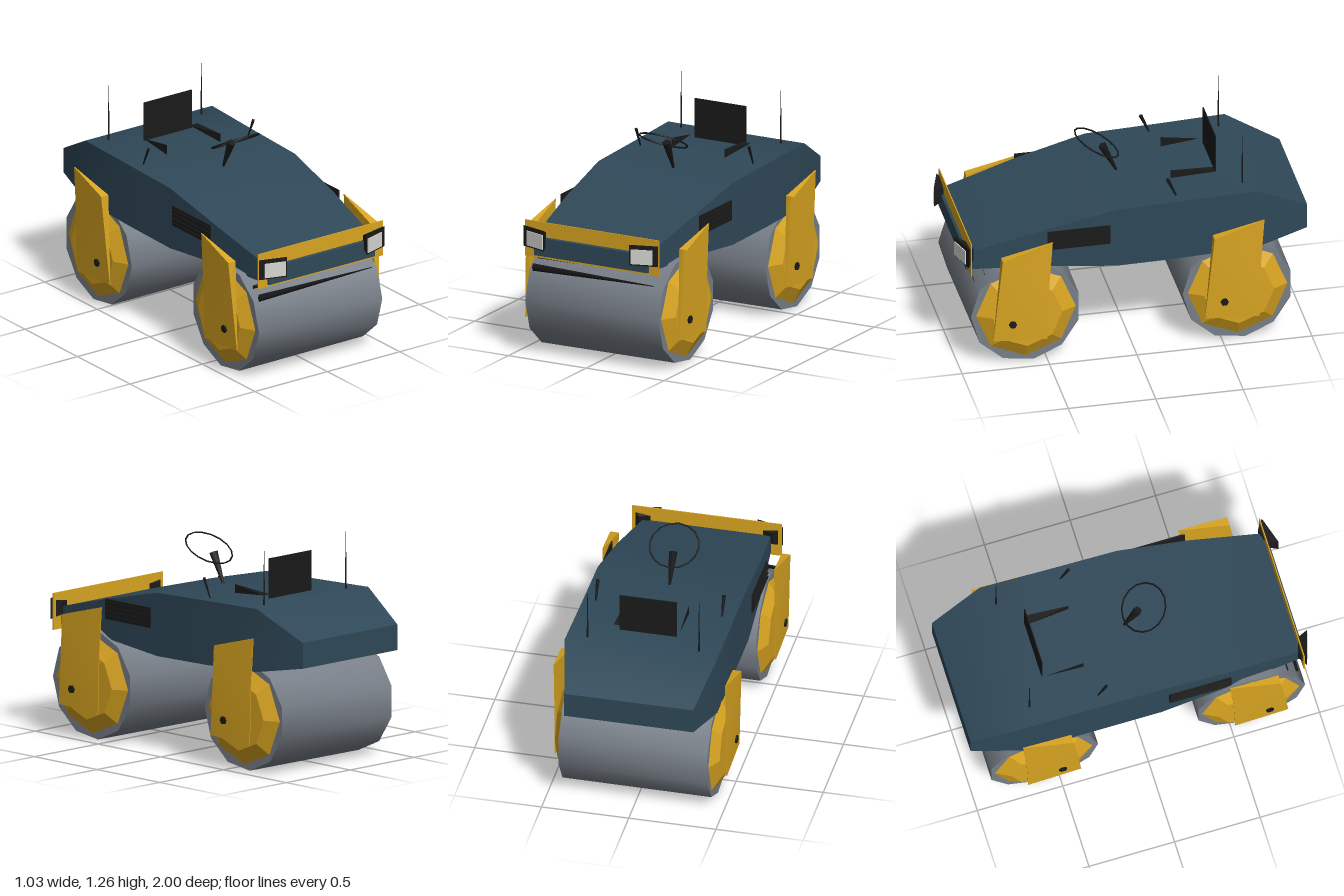
import * as THREE from 'three';
import { toCreasedNormals } from 'three/addons/utils/BufferGeometryUtils.js';

const mat = (name, color) => {
  const m = new THREE.MeshStandardMaterial({ color, side: THREE.DoubleSide });
  m.name = name;
  return m;
};

export function createModel() {
  const blue = mat('slate blue paint', 0x2f4858);
  const yellow = mat('yellow paint', 0xd9a521);
  const steel = mat('drum steel', 0x787f88);
  const black = mat('black trim', 0x1a1a1b);
  const glass = mat('lamp glass', 0xd6d6d2);

  const root = new THREE.Group();
  root.name = 'roadRoller';

  const add = (name, geo, material, x = 0, y = 0, z = 0, parent = root) => {
    const m = new THREE.Mesh(geo, material);
    m.name = name;
    m.position.set(x, y, z);
    parent.add(m);
    return m;
  };
  const box = (w, h, d) => new THREE.BoxGeometry(w, h, d);
  const fromTriangles = (pts, tris) => {
    const g = new THREE.BufferGeometry();
    g.setAttribute('position', new THREE.Float32BufferAttribute(tris.flat().flatMap(i => pts[i]), 3));
    g.computeVertexNormals();
    return g;
  };

  // Body: rectangular sections [z, half width, bottom y, top y] joined front to back
  const sections = [
    [0.95, 0.365, 0.59, 0.695], [0.5, 0.41, 0.582, 0.815], [0.1, 0.432, 0.548, 0.91],
    [-0.3, 0.434, 0.556, 0.922], [-0.7, 0.438, 0.575, 0.935], [-1, 0.37, 0.628, 0.775],
  ];
  const pts = sections.flatMap(([z, w, b, t]) => [[-w, b, z], [w, b, z], [w, t, z], [-w, t, z]]);
  const tris = [[0, 1, 2], [0, 2, 3]];
  for (let s = 0; s < sections.length - 1; s++) {
    for (let k = 0; k < 4; k++) {
      const a = s * 4 + k, b = s * 4 + (k + 1) % 4;
      tris.push([a, a + 4, b + 4], [a, b + 4, b]);
    }
  }
  const e = (sections.length - 1) * 4;
  tris.push([e, e + 2, e + 1], [e, e + 3, e + 2]);
  add('body', toCreasedNormals(fromTriangles(pts, tris), 0.7), blue);

  // Upright front plate behind the nose
  add('frontPlate', box(0.86, 0.21, 0.006), yellow, 0, 0.68, 0.932);

  // Fork outline [z offset, y, half thickness], thick at the upper front corner
  const fork = [
    [0.15, 0.70, 0.025], [0.16, 0.6, 0.02], [0.2, 0.18, 0.002],
    [-0.11, 0.16, 0.002], [-0.12, 0.5, 0.002], [-0.14, 0.78, 0.002],
  ];
  const n = fork.length;
  const forkPts = [1, -1].flatMap(s => fork.map(([z, y, t]) => [s * t, y, z]));
  const forkTris = [];
  for (let i = 0; i < n; i++) {
    const j = (i + 1) % n;
    if (i > 0 && i < n - 1) forkTris.push([0, j, i], [n, n + i, n + j]);
    forkTris.push([i, j, n + j], [i, n + j, n + i]);
  }
  const forkGeo = toCreasedNormals(fromTriangles(forkPts, forkTris), 0.6);

  // Drums with hubs, forks, axle bolts and scrapers
  for (const [name, z] of [['front', 0.62], ['rear', -0.59]]) {
    const drum = new THREE.Group();
    drum.name = name + 'Drum';
    drum.position.z = z;
    root.add(drum);
    const roll = toCreasedNormals(new THREE.CylinderGeometry(0.318, 0.314, 0.855, 11).rotateZ(Math.PI / 2), 0.8);
    add('roller', roll, steel, 0, 0.312, 0, drum);
    for (const s of [1, -1]) {
      const hub = new THREE.CylinderGeometry(0.2, 0.285, 0.045, 8).rotateZ(-s * Math.PI / 2);
      add('hub', toCreasedNormals(hub, 0.3), yellow, s * 0.45, 0.315, 0, drum);
      add('fork', forkGeo, yellow, s * 0.492, 0, 0, drum);
      const bolt = new THREE.CylinderGeometry(0.023, 0.023, 0.02, 6).rotateZ(Math.PI / 2);
      add('axleBolt', bolt, black, s * 0.499, 0.28, 0.09, drum);
    }
  }
  for (const [y, z, r] of [[0.503, 0.9, 0.022], [0.552, 0.845, 0.011]]) {
    const bar = new THREE.CylinderGeometry(0.002, r, 0.78, 4).rotateZ(-Math.PI / 2);
    bar.scale(1, 1, 0.4);
    add('scraper', bar, black, -0.01, y, z);
  }

  // Steering column and tilted wheel
  const column = add('steeringColumn', new THREE.CylinderGeometry(0.026, 0.007, 0.19, 5), black, 0, 0.995, 0.05);
  column.rotation.x = 0.44;
  const wheel = add('steeringWheel', new THREE.TorusGeometry(0.14, 0.005, 4, 16), black, 0, 1.1, 0.125);
  wheel.rotation.x = Math.PI / 2 - 0.52;

  // Seat back, two slim armrests
  add('seatBack', box(0.33, 0.235, 0.006), black, 0, 1.04, -0.52);
  const leftArm = fromTriangles(
    [[0.175, 0.975, -0.26], [0.175, 0.925, -0.26], [0.2, 0.95, -0.51], [0.145, 0.95, -0.51]],
    [[0, 1, 2], [0, 3, 1], [0, 2, 3], [1, 3, 2]]);
  add('leftArmrest', leftArm, black);
  const rightArm = fromTriangles([[-0.178, 0.985, -0.28], [-0.178, 0.925, -0.28], [-0.178, 0.95, -0.5]], [[0, 1, 2]]);
  add('rightArmrest', rightArm, black);

  for (const s of [1, -1]) {
    // Headlamp: rim, stem and lens, turned slightly outwards
    const lamp = new THREE.Group();
    lamp.name = s > 0 ? 'leftHeadlamp' : 'rightHeadlamp';
    lamp.position.set(s * 0.345, 0.695, 0.945);
    lamp.rotation.y = s * 0.3;
    root.add(lamp);
    const housing = new THREE.CylinderGeometry(Math.SQRT1_2, 0.42, 1, 4, 1);
    housing.rotateY(Math.PI / 4).rotateX(Math.PI / 2).scale(0.165, 0.12, 0.05);
    add('lampHousing', toCreasedNormals(housing, 0.3), black, 0, 0, 0.003, lamp);
    add('lampLens', box(0.125, 0.085, 0.006), glass, -s * 0.012, -0.008, 0.031, lamp);

    // Side vent with slats
    add('vent', box(0.008, 0.115, 0.36), black, s * 0.444, 0.762, 0.32);
    for (let i = 0; i < 4; i++) {
      add('ventSlat', box(0.008, 0.008, 0.34), black, s * 0.451, 0.722 + i * 0.027, 0.32);
    }

    // Control lever and whip antenna
    const lever = add('lever', new THREE.CylinderGeometry(0.011, 0.005, 0.12, 4), black, s * 0.362, 0.976, -0.228);
    lever.rotation.x = 0.42;
    const h = s > 0 ? 0.315 : 0.335;
    add('antenna', new THREE.CylinderGeometry(0.001, 0.006, h, 5), black, s * 0.32, 0.925 + h / 2, -0.64);
  }

  return root;
}
